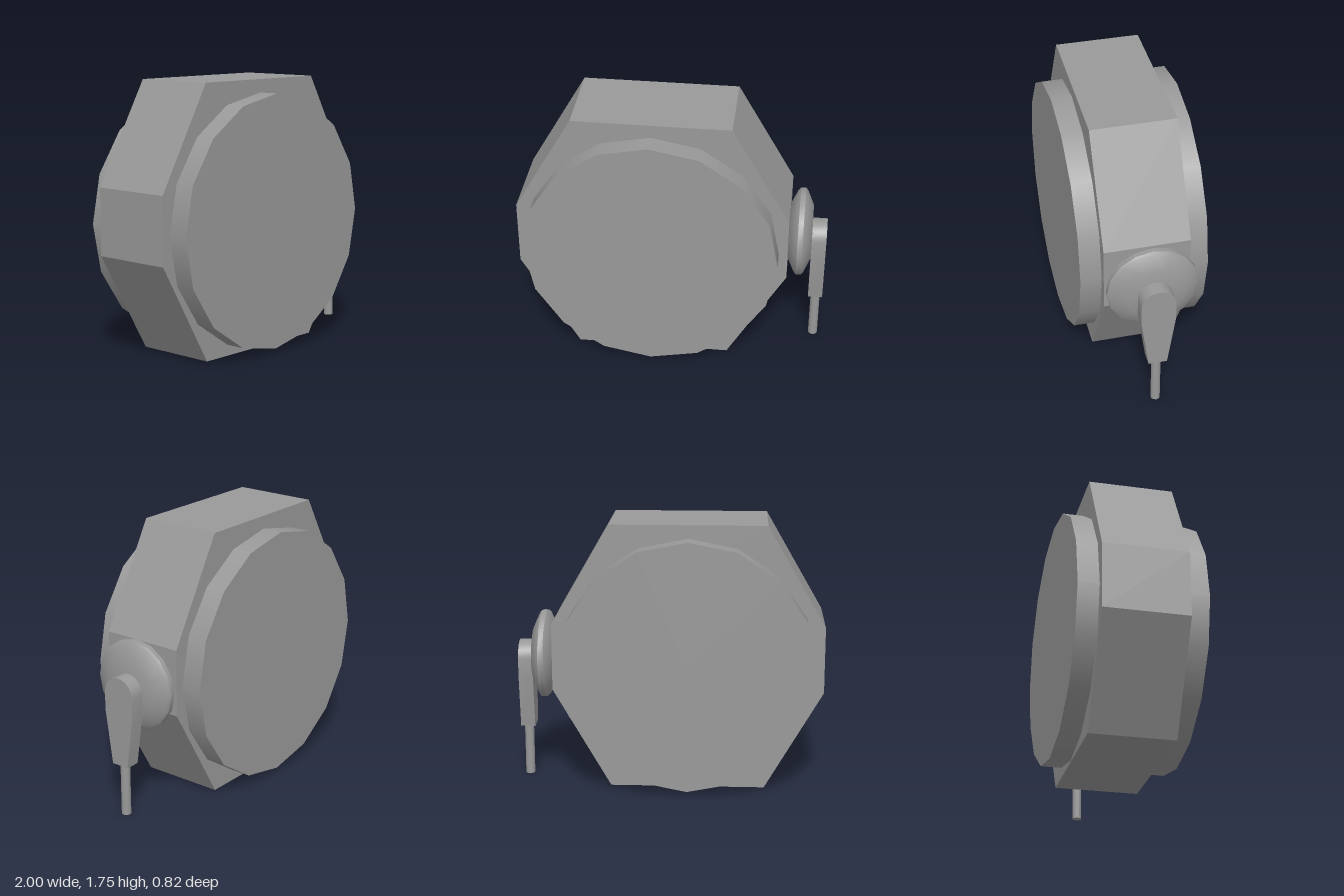
import * as THREE from 'three';
import { toCreasedNormals } from 'three/addons/utils/BufferGeometryUtils.js';

export function createModel() {
  const group = new THREE.Group();
  const material = new THREE.MeshStandardMaterial({ color: 0x999999 });
  const add = (name, geometry, x = 0, y = 0, z = 0) => {
    const mesh = new THREE.Mesh(geometry, material);
    mesh.name = name;
    mesh.position.set(x, y, z);
    group.add(mesh);
  };
  const bodyX = -0.122;
  const crankZ = -0.015;

  // Housing: hexagon with its two side corners cut off, extruded in depth
  const outline = [[0.502, 0.014], [0.878, 0.667], [0.878, 1.1], [0.502, 1.753]];
  const mirrored = outline.map(([x, y]) => [-x, y]).reverse();
  const housing = new THREE.Shape([...outline, ...mirrored].map(([x, y]) => new THREE.Vector2(x, y)));
  add('housing', new THREE.ExtrudeGeometry(housing, { depth: 0.55, bevelEnabled: false }), bodyX, 0, -0.275);

  // Round drum standing proud of the housing at front and back
  add('drum', new THREE.CylinderGeometry(0.822, 0.822, 0.82, 16).rotateX(Math.PI / 2), bodyX, 0.846, 0);

  // Hub: turned disc on the left side, axis along x
  const hubProfile = [[0, 0], [0.19, 0], [0.275, 0.042], [0.291, 0.057], [0.291, 0.09], [0.275, 0.104], [0.18, 0.147], [0, 0.147]]
    .map(([r, h]) => new THREE.Vector2(r, h));
  const hub = toCreasedNormals(new THREE.LatheGeometry(hubProfile, 16), 0.8);
  add('crankHub', hub.rotateZ(-Math.PI / 2), 0.757, 0.842, crankZ);

  // Crank arm: rounded top tapering downward
  const arm = new THREE.Shape();
  arm.moveTo(-0.06, 0.348);
  arm.lineTo(0.06, 0.348);
  arm.lineTo(0.11, 0.7);
  arm.lineTo(0.11, 0.822);
  arm.absarc(0, 0.822, 0.11, 0, Math.PI, false);
  arm.lineTo(-0.11, 0.7);
  arm.closePath();
  const armGeometry = new THREE.ExtrudeGeometry(arm, { depth: 0.095, bevelEnabled: false, curveSegments: 8 });
  add('crankArm', toCreasedNormals(armGeometry.rotateY(Math.PI / 2), 0.6), 0.905, 0, crankZ);

  // Thin rod hanging below the arm
  add('crankRod', new THREE.CylinderGeometry(0.031, 0.031, 0.36, 12), 0.953, 0.18, crankZ);

  return group;
}
